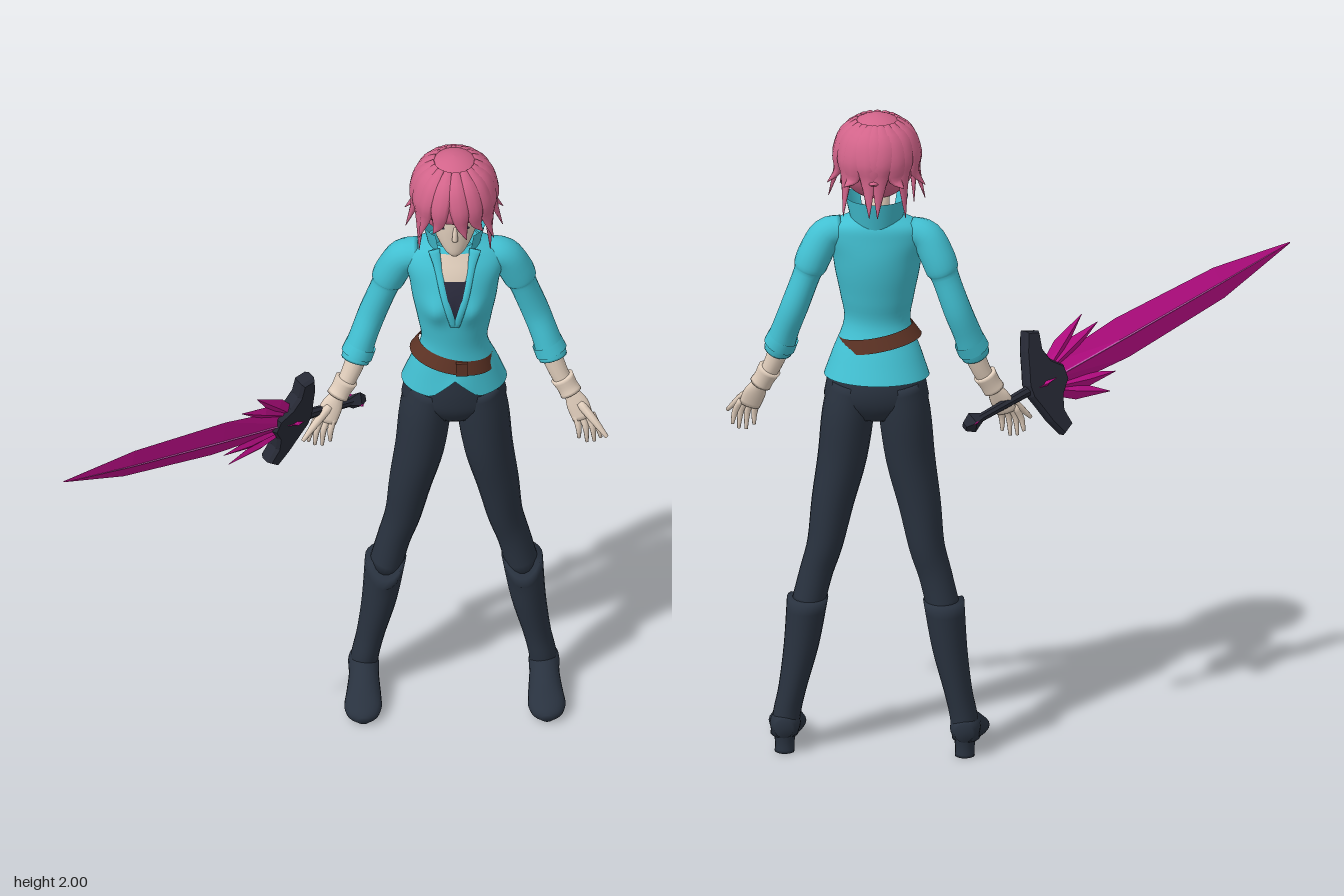
import * as THREE from 'three';

const V = (x, y, z) => new THREE.Vector3(x, y, z);
const mat = (name, color, side = THREE.FrontSide) => {
  const m = new THREE.MeshStandardMaterial({ color, side });
  m.name = name;
  return m;
};

// Smooth rows of [x, y, z, radiusA, radiusB] along a spline
function smooth(rows, k = 4) {
  const pos = new THREE.CatmullRomCurve3(rows.map(r => V(r[0], r[1], r[2])), false, 'catmullrom');
  const rad = new THREE.CatmullRomCurve3(rows.map(r => V(r[3], r[4] ?? r[3], 0)), false, 'catmullrom');
  const n = (rows.length - 1) * k;
  return Array.from({ length: n + 1 }, (_, i) => {
    const p = pos.getPoint(i / n), r = rad.getPoint(i / n);
    return [p.x, p.y, p.z, Math.max(r.x, 0.001), Math.max(r.y, 0.001)];
  });
}

// Elliptical rings along a path; radiusA runs along ref, radiusB across it
function loft(rows, { n = 16, ref = V(1, 0, 0), dir = null, caps = true, flat = false } = {}) {
  const pos = [], idx = [], last = rows.length - 1;
  const at = i => V(rows[i][0], rows[i][1], rows[i][2]);
  rows.forEach((r, i) => {
    const t = dir ?? at(Math.min(i + 1, last)).sub(at(Math.max(i - 1, 0))).normalize();
    const a = ref.clone().addScaledVector(t, -ref.dot(t)).normalize();
    const b = t.clone().cross(a);
    for (let j = 0; j < n; j++) {
      const q = j / n * Math.PI * 2;
      const p = at(i).addScaledVector(a, Math.cos(q) * r[3]).addScaledVector(b, Math.sin(q) * (r[4] ?? r[3]));
      pos.push(p.x, p.y, p.z);
      const k = i * n + j, l = i * n + (j + 1) % n;
      if (i < last) idx.push(k, l, l + n, k, l + n, k + n);
    }
  });
  if (caps) {
    const c = pos.length / 3, o = last * n;
    pos.push(...at(0).toArray(), ...at(last).toArray());
    for (let j = 0; j < n; j++) {
      const l = (j + 1) % n;
      idx.push(c, l, j, c + 1, o + j, o + l);
    }
  }
  let g = new THREE.BufferGeometry();
  g.setAttribute('position', new THREE.Float32BufferAttribute(pos, 3));
  g.setIndex(idx);
  if (flat) g = g.toNonIndexed();
  g.computeVertexNormals();
  return g;
}

// Move every vertex by a rule
function deform(g, rule) {
  const p = g.attributes.position, v = V();
  for (let i = 0; i < p.count; i++) {
    v.fromBufferAttribute(p, i);
    rule(v);
    p.setXYZ(i, v.x, v.y, v.z);
  }
  g.computeVertexNormals();
  return g;
}

export function createModel() {
  const jacket = mat('teal cloth', 0x42c0d2, THREE.DoubleSide), dark = mat('navy cloth', 0x29323f);
  const skin = mat('skin', 0xe2cfbd), hair = mat('pink hair', 0xd2648a), leather = mat('brown leather', 0x5c3224, THREE.DoubleSide);
  const metal = mat('dark metal', 0x272a36), crystal = mat('magenta crystal', 0xbd0d88), core = mat('pale crystal', 0xbd55a8);
  const shirt = mat('dark shirt', 0x2a2a3c, THREE.DoubleSide), chest = mat('chest skin', 0xdccab8, THREE.DoubleSide);
  const model = new THREE.Group(), body = new THREE.Group(), up = V(0, 1, 0);
  body.name = 'body';
  body.position.x = 0.365;
  model.add(body);
  const add = (name, geo, m, parent = body) => {
    const mesh = new THREE.Mesh(geo, m);
    mesh.name = name;
    parent.add(mesh);
    return mesh;
  };

  // Jacket with a notched hem
  const torso = smooth([[0, 1.18, -.297, .158, .125], [0, 1.25, -.285, .133, .105], [0, 1.34, -.27, .1, .083],
    [0, 1.42, -.272, .11, .092], [0, 1.5, -.275, .126, .103], [0, 1.56, -.28, .135, .103],
    [0, 1.62, -.29, .15, .09], [0, 1.66, -.3, .135, .075], [0, 1.69, -.3, .07, .058]], 5);
  const bust = (x, y) => .022 * Math.exp(-(((Math.abs(x) - .06) / .035) ** 2) - ((y - 1.5) / .045) ** 2);
  add('jacket', deform(loft(torso, { n: 48, dir: up, caps: false }), v => {
    if (v.z < -.25) return;
    v.z += bust(v.x, v.y);
    const notch = Math.max(0, 1 - Math.abs(v.x) / .07) * Math.max(0, (1.27 - v.y) / .09);
    v.y += notch * .065;
  }), jacket);
  const frontZ = (x, y) => {
    const i = Math.max(1, torso.findIndex(r => r[1] >= y)), a = torso[i - 1], b = torso[i];
    const f = (y - a[1]) / (b[1] - a[1]), mix = k => a[k] + (b[k] - a[k]) * f;
    return mix(2) + mix(4) * Math.sqrt(Math.max(0, 1 - (x / mix(3)) ** 2)) + bust(x, y);
  };
  // Neckline panels that follow the chest
  const patch = (name, y0, y1, w0, w1, lift, m) => add(name, deform(new THREE.PlaneGeometry(2, 1, 8, 14), v => {
    const f = v.y + .5;
    v.y = y0 + (y1 - y0) * f;
    v.x *= w0 + (w1 - w0) * f;
    v.z = frontZ(v.x, v.y) + lift;
  }), m);
  patch('chestOpening', 1.46, 1.675, .003, .052, .004, chest);
  patch('undershirt', 1.462, 1.605, .002, .034, .008, shirt);

  // Standing collar, open at the front
  const collar = new THREE.CylinderGeometry(.094, .068, .115, 32, 3, true, .65, Math.PI * 2 - 1.3);
  add('collar', collar, jacket).position.set(0, 1.69, -.3);

  // Belt and buckle
  const belt = add('belt', new THREE.CylinderGeometry(.113, .132, .042, 36, 1, true), leather);
  belt.scale.z = .83;
  belt.position.set(0, 1.295, -.277);
  belt.rotation.z = -.2;
  add('buckle', new THREE.BoxGeometry(.035, .045, .012), leather).position.set(.02, 1.292, -.172);

  // Hips
  add('hips', loft(smooth([[0, 1.26, -.285, .1, .08], [0, 1.2, -.3, .137, .1], [0, 1.15, -.306, .152, .107],
    [0, 1.1, -.306, .152, .1], [0, 1.055, -.305, .09, .075]].reverse()), { n: 32, dir: up }), dark);

  // Head, neck and face
  add('neck', loft([[0, 1.62, -.29, .042], [0, 1.68, -.28, .036], [0, 1.76, -.27, .038]]), skin);
  add('head', loft(smooth([[0, 1.697, -.205, .014, .016], [0, 1.715, -.217, .034, .036], [0, 1.76, -.243, .06, .066],
    [0, 1.82, -.262, .073, .088], [0, 1.9, -.27, .076, .09], [0, 1.96, -.275, .04, .05]]), { n: 24, dir: up }), skin);
  add('nose', loft([[0, 1.765, -.176, .009, .009], [0, 1.775, -.169, .009, .01], [0, 1.815, -.18, .005, .008]], { n: 8, dir: up }), skin);
  add('mouth', new THREE.BoxGeometry(.026, .004, .006), hair).position.set(0, 1.741, -.187);

  // Hair: a cap opened at the face, then layered pointed locks
  add('hairCap', deform(new THREE.SphereGeometry(1, 32, 24), v => {
    v.set(v.x * .12, 1.87 + v.y * .13, -.287 + v.z * .132);
    if (v.y < 1.83) v.z = Math.min(v.z, -.24);
  }), hair);
  const scalp = (q, e, r = 1.01) => [Math.sin(q) * Math.cos(e) * .12 * r, 1.87 + Math.sin(e) * .13 * r, -.287 + Math.cos(q) * Math.cos(e) * .132 * r];
  const lock = (q, tipR, tipY, turn, w) => {
    const end = q + turn;
    add('hairLock', loft(smooth([[...scalp(q, 1.05), .012, .006], [...scalp(q, .6), w, .013], [...scalp(q + turn * .3, .1), w, .014],
      [...scalp(q + turn * .6, -.3, 1.04), w * .65, .011],
      [Math.sin(end) * tipR, tipY, -.287 + Math.cos(end) * tipR, .001, .001]], 3),
    { n: 8, ref: V(Math.cos(q), 0, -Math.sin(q)) }), hair);
  };
  [-.75, -.35, .05, .45, .8].forEach((q, i) => lock(q, .138, [1.76, 1.8, 1.785, 1.8, 1.75][i], i < 2 ? -.15 : .2, .028));
  for (const s of [-1, 1]) {
    [1.1, 1.45, 1.85, 2.25, 2.6, 2.9].forEach((q, i) =>
      lock(s * q, [.125, .145, .15, .14, .155, .15][i], [1.7, 1.74, 1.79, 1.71, 1.81, 1.72][i], s * (i % 2 ? .16 : -.08), .036));
  }
  lock(Math.PI, .16, 1.83, 0, .035);

  for (const s of [-1, 1]) {
    const side = s > 0 ? 'left' : 'right';
    const limb = (name, rows, m, opt, k = 4) => add(side + name, loft(smooth(rows.map(r => [s * r[0], ...r.slice(1)]), k), opt), m);
    // Eyes and lapels
    const eye = add(side + 'Eye', new THREE.SphereGeometry(1, 12, 8), shirt);
    eye.scale.set(.014, .006, .004);
    eye.position.set(s * .03, 1.805, -.187);
    limb('Lapel', [[.062, 1.69, -.235, .018, .006], ...[[.05, 1.64], [.034, 1.57], [.018, 1.51], [.003, 1.45]]
      .map(([x, y]) => [x, y, frontZ(x, y) + .003, .012, .007])], jacket, { n: 8 });

    // Sleeves with a puffed shoulder
    limb('Sleeve', [[.1, 1.635, -.3, .045, .05], [.15, 1.62, -.305, .05, .052], [.182, 1.565, -.315, .052, .054],
      [.198, 1.525, -.32, .05, .052], [.207, 1.5, -.32, .042, .046], [.243, 1.4, -.325, .042, .046],
      [.272, 1.32, -.31, .042, .047], [.288, 1.27, -.3, .045, .048], [.296, 1.245, -.293, .043, .046]], jacket, { n: 20 });
    limb('SleeveCuff', [[.278, 1.293, -.305, .047, .051], [.291, 1.262, -.298, .049, .051]], jacket, { n: 20, caps: false });
    // Forearm, wrist band and hand
    limb('Forearm', [[.28, 1.28, -.3, .033], [.315, 1.19, -.285, .028], [.35, 1.125, -.27, .022]], skin, { n: 14 });
    limb('WristBand', [[.322, 1.18, -.282, .036, .034], [.338, 1.15, -.276, .032, .03], [.35, 1.128, -.27, .034, .031]], skin, { n: 16 }, 3);
    limb('Palm', [[.35, 1.13, -.27, .022, .018], [.368, 1.095, -.26, .033, .017], [.385, 1.05, -.247, .032, .014]], skin, { n: 14 });
    [[.36, .372, .985], [.378, .396, .97], [.396, .418, .972], [.411, .437, .985]].forEach(([x, tx, ty]) =>
      limb('Finger', [[x, 1.065, -.25, .01], [(x + tx) / 2 + .005, 1.025, -.237, .0095], [tx, ty, -.238, .005]], skin, { n: 8 }, 3));
    limb('Thumb', [[.375, 1.1, -.255, .014], [.415, 1.062, -.222, .012], [.455, 1.015, -.197, .006]], skin, { n: 8 }, 3);

    // Trouser leg
    limb('Leg', [[.07, 1.16, -.305, .07, .095], [.085, 1.06, -.307, .078, .1], [.102, .92, -.308, .074, .093],
      [.13, .78, -.318, .064, .08], [.152, .65, -.33, .054, .068], [.178, .56, -.335, .05, .058], [.205, .45, -.342, .05, .06]], dark, { n: 22 });
    // Boot shaft with a dipped front edge
    const shaft = limb('BootShaft', [[.272, .05, -.357, .042, .05], [.264, .12, -.35, .042, .055], [.247, .2, -.35, .043, .057],
      [.222, .33, -.344, .053, .067], [.204, .48, -.34, .062, .076]], dark, { n: 22, dir: up });
    deform(shaft.geometry, v => { if (v.y > .43 && v.z > -.3) v.y -= (v.z + .3) * 1.1; });
    // Foot and heel
    const foot = limb('Foot', [[.27, .08, -.412, .028, .03], [.27, .082, -.37, .045, .042], [.27, .072, -.3, .045, .045],
      [.272, .046, -.24, .052, .046], [.275, .03, -.19, .056, .034], [.275, .022, -.152, .042, .024], [.275, .016, -.134, .015, .012]], dark, { n: 20 });
    deform(foot.geometry, v => { v.y = Math.max(v.y, 0); });
    limb('Heel', [[.27, 0, -.378, .03, .031], [.27, .035, -.375, .03, .032], [.27, .08, -.37, .04, .042]], dark, { n: 14, dir: up });
  }

  // Sword: x along the blade, y across it
  const sword = new THREE.Group();
  sword.name = 'sword';
  const u = V(-.72, .245, .65).normalize(), v = V(.366, .93, -.02);
  v.addScaledVector(u, -v.dot(u)).normalize();
  sword.applyMatrix4(new THREE.Matrix4().makeBasis(u, v, u.clone().cross(v)).setPosition(-.116, 1.114, -.18));
  model.add(sword);
  const gem = (name, rows, m, n = 4) => add(name, loft(rows, { n, ref: up, flat: true }), m, sword);
  gem('blade', [[.04, 0, 0, .045, .018], [.32, 0, 0, .064, .018], [.7, 0, 0, .05, .014], [.977, 0, 0, .002, .002]], crystal);
  gem('bladeCore', [[.08, 0, 0, .015, .021], [.35, 0, 0, .015, .021], [.7, 0, 0, .011, .0165], [.92, 0, 0, .001, .006]], core);
  for (const s of [-1, 1]) {
    gem('outerCrystal', [[.03, s * .03, 0, .02, .014], [.11, s * .075, 0, .026, .014], [.218, s * .128, 0, .001, .001]], crystal);
    gem('innerCrystal', [[.05, s * .03, 0, .02, .013], [.16, s * .06, 0, .022, .012], [.26, s * .082, 0, .001, .001]], crystal);
  }
  // Crescent guard with a gem, then grip and pommel
  const half = [[-.045, .018], [-.03, .06], [-.012, .115], [.012, .165], [.045, .15], [.035, .1], [.05, .055], [.085, .02]];
  const outline = [...half, ...half.slice().reverse().map(([x, y]) => [x, -y])];
  const guard = new THREE.ExtrudeGeometry(new THREE.Shape(outline.map(([x, y]) => new THREE.Vector2(x, y))),
    { depth: .024, bevelThickness: .012, bevelSize: .006, bevelSegments: 1 });
  add('guard', guard.translate(0, 0, -.012), metal, sword);
  gem('guardGem', [[-.035, 0, 0, .002, .02], [.01, 0, 0, .026, .034], [.065, 0, 0, .002, .02]], crystal);
  gem('grip', [[-.25, 0, 0, .013], [-.13, 0, 0, .015], [-.03, 0, 0, .017]], metal, 8);
  gem('pommel', [[-.295, 0, 0, .014, .012], [-.265, 0, 0, .032, .026], [-.225, 0, 0, .012, .012]], metal);
  gem('pommelGem', [[-.283, 0, 0, .002, .016], [-.265, 0, 0, .013, .031], [-.245, 0, 0, .002, .016]], crystal);
  return model;
}
